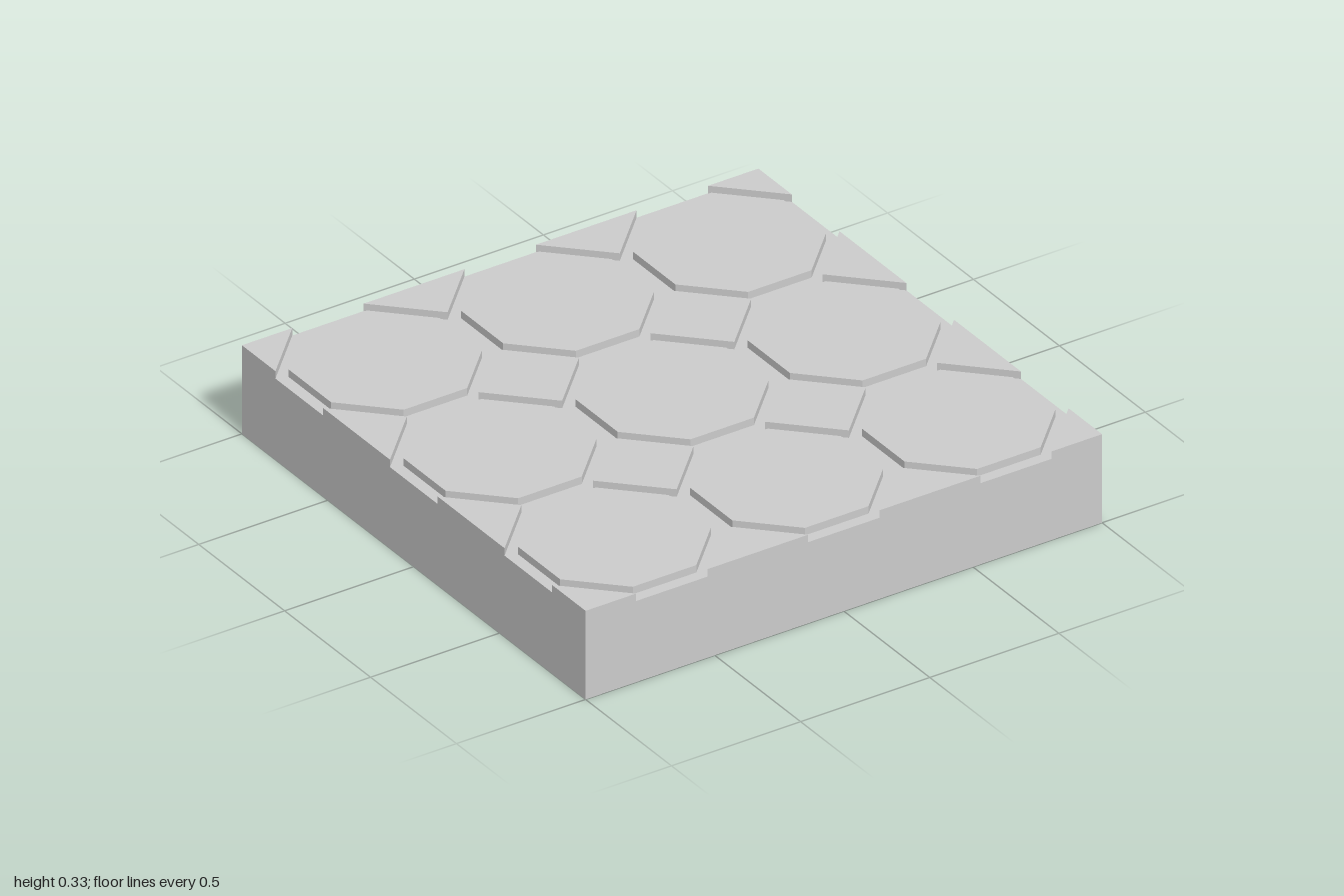
import * as THREE from 'three';

const FLOOR = 0.305;      // height of the groove floor
const TOP = 0.333;        // height of the tile faces
const PITCH = 2 / 3;      // spacing of the paving pattern
const OCT = 0.292;        // octagon half width
const FLAT = 0.123;       // half length of an octagon's straight sides
const DIA = 0.195;        // diamond half diagonal

const material = new THREE.MeshStandardMaterial({ color: 0xcccccc, flatShading: true });

// Raised tile from a plan outline, trimmed to the square block
function tile(name, cx, cz, outline) {
  const clamp = (v) => THREE.MathUtils.clamp(v, -1, 1);
  const points = outline
    .map(([x, z]) => new THREE.Vector2(clamp(cx + x), clamp(-cz + z)))
    .filter((p, i, all) => all.findIndex((q) => q.distanceTo(p) < 1e-6) === i);
  const geometry = new THREE.ExtrudeGeometry(new THREE.Shape(points), {
    depth: TOP - FLOOR,
    bevelEnabled: false,
  });
  geometry.rotateX(-Math.PI / 2).translate(0, FLOOR, 0);
  const mesh = new THREE.Mesh(geometry, material);
  mesh.name = name;
  return mesh;
}

export function createModel() {
  const model = new THREE.Group();
  model.name = 'pavedFloorBlock';

  // Solid block whose top is the groove floor
  const base = new THREE.Mesh(new THREE.BoxGeometry(2, FLOOR, 2), material);
  base.position.y = FLOOR / 2;
  base.name = 'baseBlock';
  model.add(base);

  // Three by three octagonal tiles
  const octagon = [
    [OCT, -FLAT], [OCT, FLAT], [FLAT, OCT], [-FLAT, OCT],
    [-OCT, FLAT], [-OCT, -FLAT], [-FLAT, -OCT], [FLAT, -OCT],
  ];
  const octagonTiles = new THREE.Group();
  octagonTiles.name = 'octagonTiles';
  for (let i = -1; i <= 1; i++) {
    for (let j = -1; j <= 1; j++) {
      octagonTiles.add(tile('octagonTile', i * PITCH, j * PITCH, octagon));
    }
  }

  // Diamonds between the octagons, cut to triangles along the border
  const diamond = [[DIA, 0], [0, DIA], [-DIA, 0], [0, -DIA]];
  const diamondTiles = new THREE.Group();
  diamondTiles.name = 'diamondTiles';
  for (let i = 0; i < 4; i++) {
    for (let j = 0; j < 4; j++) {
      diamondTiles.add(tile('diamondTile', -1 + i * PITCH, -1 + j * PITCH, diamond));
    }
  }

  model.add(octagonTiles, diamondTiles);
  return model;
}
